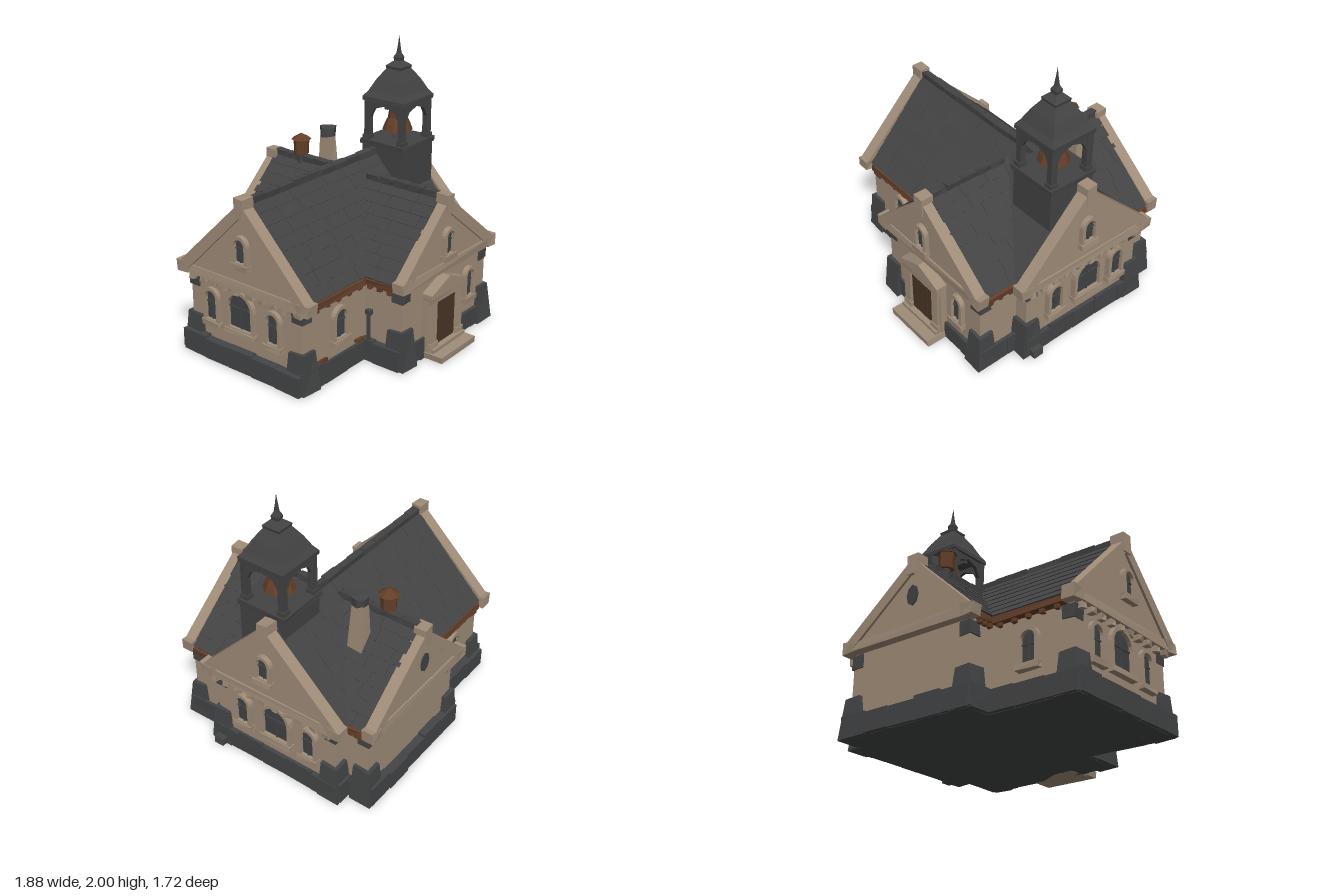
import * as THREE from 'three';
import { mergeGeometries } from 'three/addons/utils/BufferGeometryUtils.js';

const mat = (name, color) => new THREE.MeshStandardMaterial({ name, color });

export function createModel() {
  const plaster = mat('sandstone', 0xa08d79);
  const slate = mat('slate', 0x434344);
  const stone = mat('dark stone', 0x444546);
  const rust = mat('rust', 0x643f29);
  const wood = mat('door wood', 0x4a3625);
  const glass = mat('dark glass', 0x404244);
  const root = new THREE.Group();
  root.name = 'chapel';

  let seed = 7;
  const rnd = () => (seed = (seed * 16807) % 2147483647) / 2147483647;

  // Nudge corners by a position hash, so shared corners stay joined, and facet the result
  function rough(geo, amt) {
    const g = geo.index ? geo.toNonIndexed() : geo;
    const p = g.attributes.position;
    const k = rnd() * 50;
    for (let i = 0; i < p.count; i++) {
      const v = [p.getX(i), p.getY(i), p.getZ(i)].map(c => Math.round(c * 1e4) / 1e4);
      const h = j => Math.sin(v[0] * 91.7 + v[1] * 47.3 + v[2] * 71.9 + j * 5.1 + k) * amt;
      p.setXYZ(i, v[0] + h(1), v[1] + h(2), v[2] + h(3));
    }
    g.computeVertexNormals();
    return g;
  }
  function add(parent, name, geo, material, x = 0, y = 0, z = 0) {
    const m = new THREE.Mesh(geo, material);
    m.name = name;
    m.position.set(x, y, z);
    parent.add(m);
    return m;
  }
  // Box given by its limits on each axis
  function box(parent, name, material, x0, x1, y0, y1, z0, z1, amt = 0) {
    const g = new THREE.BoxGeometry(x1 - x0, y1 - y0, z1 - z0);
    return add(parent, name, amt ? rough(g, amt) : g, material, (x0 + x1) / 2, (y0 + y1) / 2, (z0 + z1) / 2);
  }
  const poly = pts => new THREE.Shape(pts.map(p => new THREE.Vector2(...p)));
  const extrude = (shape, depth) => {
    const g = new THREE.ExtrudeGeometry(shape, { depth, bevelEnabled: false, curveSegments: 5 });
    return g.translate(0, 0, -depth / 2);
  };
  const group = (name, ry = 0, x = 0, y = 0, z = 0) => {
    const g = new THREE.Group();
    g.name = name;
    g.rotation.y = ry;
    g.position.set(x, y, z);
    root.add(g);
    return g;
  };
  const Q = Math.PI / 2;

  // Walls
  box(root, 'hallWall', plaster, -0.86, 0.85, 0.05, 0.62, -0.6, 0.385);
  box(root, 'wingWall', plaster, -0.23, 0.75, 0.05, 0.62, -0.785, 0.69);

  // Plinth: solid core with uneven facing blocks
  function plinth(x0, x1, z0, z1) {
    box(root, 'plinthCore', stone, x0, x1, 0, 0.135, z0, z1);
    const row = (a, b, place) => {
      const n = Math.round((b - a) / 0.22), w = (b - a) / n;
      for (let i = 0; i < n; i++) place(a + i * w, a + (i + 1) * w - 0.004, 0.135 + rnd() * 0.025, 0.004 + rnd() * 0.01);
    };
    for (const [z, s] of [[z0, -1], [z1, 1]])
      row(x0, x1, (a, b, h, t) => box(root, 'plinthBlock', stone, a, b, 0.002, h, z - 0.02 + s * t, z + 0.02 + s * (t - 0.02), 0.002));
    for (const [x, s] of [[x0, -1], [x1, 1]])
      row(z0, z1, (a, b, h, t) => box(root, 'plinthBlock', stone, x - 0.02 + s * t, x + 0.02 + s * (t - 0.02), 0.002, h, a, b, 0.002));
  }
  plinth(-0.9, 0.88, -0.635, 0.41);
  plinth(-0.25, 0.78, -0.815, 0.705);

  // Corner stones: tapered foot and a small flush block under the eaves; (x, z) is the wall corner
  function corner(x, z, sx, sz) {
    const foot = new THREE.CylinderGeometry(0.085, 0.118, 0.275, 4, 1).rotateY(Math.PI / 4);
    add(root, 'cornerFoot', rough(foot, 0.006), stone, x - sx * 0.035, 0.1395, z - sz * 0.035);
    const cx = x - sx * 0.036, cz = z - sz * 0.036;
    box(root, 'cornerBlock', stone, cx - 0.045, cx + 0.045, 0.48, 0.57, cz - 0.045, cz + 0.045, 0.004);
  }
  for (const sz of [-1, 1]) {
    corner(-0.86, sz > 0 ? 0.385 : -0.6, -1, sz);
    corner(0.85, sz > 0 ? 0.385 : -0.6, 1, sz);
    corner(-0.23, sz > 0 ? 0.69 : -0.785, -1, sz);
    corner(0.75, sz > 0 ? 0.69 : -0.785, 1, sz);
  }
  box(root, 'looseStone', stone, 0.87, 0.935, 0, 0.065, 0.3, 0.38, 0.006);

  // Roof slope: overlapping slates from the ridge at local z = 0 down to z = d
  function slates(name, parent, a, b, d, y0, y1) {
    const th = Math.atan2(y1 - y0, d), s = Math.hypot(d, y1 - y0), n = 8, parts = [];
    for (let k = 0; k < n; k++) {
      for (let x = a; x < b - 0.01;) {
        let w = 0.16 + rnd() * 0.2;
        if (x + w > b - 0.06) w = b - x;
        const t = (k + 0.5) / n;
        const g = new THREE.BoxGeometry(w - 0.003, 0.012, s / n + 0.01);
        g.rotateX(th - 0.06 + rnd() * 0.03);
        g.translate(x + w / 2, y1 + (y0 - y1) * t + Math.cos(th) * 0.006, d * t + Math.sin(th) * 0.006);
        parts.push(g);
        x += w;
      }
    }
    add(parent, name, mergeGeometries(parts), slate);
  }
  // Main roof along x, cross roof along z
  const hallRoof = extrude(poly([[-0.645, 0.6], [0.43, 0.6], [-0.08, 1.18]]), 1.7).rotateY(-Q);
  add(root, 'hallRoof', hallRoof, slate);
  slates('hallFrontSlates', group('hallFrontSlope', 0, 0, 0, -0.08), -0.84, 0.84, 0.5, 0.62, 1.18);
  slates('hallBackSlates', group('hallBackSlope', Math.PI, 0, 0, -0.08), -0.84, 0.84, 0.555, 0.62, 1.18);
  const wingRoof = extrude(poly([[-0.29, 0.6], [0.785, 0.6], [0.21, 1.1]]), 1.46);
  add(root, 'wingRoof', wingRoof, slate, 0, 0, -0.06);
  slates('wingRightSlates', group('wingRightSlope', Q, 0.21), -0.67, 0.79, 0.565, 0.62, 1.09);
  slates('wingLeftSlates', group('wingLeftSlope', -Q, 0.21), -0.79, 0.67, 0.49, 0.62, 1.09);
  // Ridge caps
  for (let i = 0; i < 12; i++) {
    const x = -0.83 + i * 0.138;
    box(root, 'hallRidgeCap', slate, x, x + 0.132, 1.15, 1.212, -0.105, -0.055, 0.004);
    const z = -0.78 + i * 0.12;
    if (z < -0.15 || z > -0.05) box(root, 'wingRidgeCap', slate, 0.185, 0.235, 1.07, 1.125, z, z + 0.114, 0.004);
  }

  // Gable end: infill, raking coping, foot blocks, cornice and peak stone
  function gable(name, ry, x, z, a, b, p, top, w) {
    const g = group(name, ry, x, 0, z);
    add(g, 'gableInfill', extrude(poly([[a + 0.03, 0.6], [b - 0.03, 0.6], [p, top - 0.05]]), w * 0.6), plaster);
    const rake = [[a, 0.6], [a + 0.085, 0.6], [p, top - 0.1], [b - 0.085, 0.6], [b, 0.6], [b, 0.63], [p, top], [a, 0.63]];
    add(g, 'coping', extrude(poly(rake), w), plaster);
    box(g, 'cornice', plaster, a + 0.02, b - 0.02, 0.58, 0.645, -w * 0.45, w * 0.45, 0.004);
    for (const u of [a + 0.045, b - 0.045]) box(g, 'footBlock', plaster, u - 0.048, u + 0.048, 0.575, 0.655, -w * 0.53, w * 0.53, 0.005);
    box(g, 'peakStone', plaster, p - 0.042, p + 0.042, top - 0.11, top + 0.025, -w * 0.58, w * 0.58, 0.006);
    return g;
  }
  gable('frontGable', 0, 0, 0.7, -0.295, 0.8, 0.21, 1.1, 0.08);
  gable('backGable', 0, 0, -0.81, -0.295, 0.8, 0.21, 1.1, 0.08);
  for (const s of [-1, 1]) {
    const g = gable(s > 0 ? 'rightGable' : 'leftGable', -Q, s * 0.868, 0, -0.675, 0.475, -0.08, 1.2, 0.085);
    // Corbels under the end cornice
    for (let i = 0; i < 10; i++) {
      const u = -0.58 + i * 0.103;
      box(g, 'corbel', plaster, u, u + 0.05, 0.54, 0.59, -0.032, 0.032, 0.006);
    }
  }

  // Arched window on a wall group: u centre, sill height, width and height
  const arch = (w, h) => {
    const s = new THREE.Shape();
    s.moveTo(-w / 2, 0).lineTo(w / 2, 0).lineTo(w / 2, h - w / 2);
    s.absarc(0, h - w / 2, w / 2, 0, Math.PI, false);
    return s;
  };
  function windowAt(wall, u, y, w, h) {
    const f = 0.025;
    const ring = arch(w, h);
    const hole = arch(w - 2 * f, h - 2 * f).getPoints(5).map(p => p.add(new THREE.Vector2(0, f)));
    ring.holes.push(new THREE.Path(hole));
    add(wall, 'windowFrame', extrude(ring, 0.05), plaster, u, y, 0.01);
    add(wall, 'windowPane', extrude(arch(w - 2 * f, h - 2 * f), 0.008), glass, u, y + f, 0.006);
    box(wall, 'windowBar', stone, u - 0.005, u + 0.005, y + f, y + h - f, 0, 0.018);
    box(wall, 'windowBar', stone, u - w / 2 + f, u + w / 2 - f, y + h * 0.55, y + h * 0.55 + 0.01, 0, 0.018);
    box(wall, 'windowSill', plaster, u - w / 2 - 0.006, u + w / 2 + 0.006, y - 0.022, y + 0.018, -0.01, 0.045, 0.003);
  }
  windowAt(group('hallFrontWall', 0, 0, 0, 0.385), -0.51, 0.245, 0.155, 0.25);
  windowAt(group('hallBackWall', Math.PI, 0, 0, -0.6), 0.54, 0.245, 0.155, 0.25);
  const front = group('wingFrontWall', 0, 0, 0, 0.69);
  windowAt(front, 0.53, 0.245, 0.13, 0.245);
  windowAt(group('frontGableWall', 0, 0, 0, 0.724), 0.21, 0.685, 0.125, 0.21);
  for (const s of [-1, 1]) {
    const wall = group(s > 0 ? 'rightEndWall' : 'leftEndWall', s * Q, s * 0.857);
    windowAt(wall, s * 0.135, 0.265, 0.25, 0.3);
    windowAt(wall, s * -0.15, 0.255, 0.145, 0.26);
    windowAt(wall, s * 0.4, 0.255, 0.145, 0.26);
    windowAt(group('endGableWall', s * Q, s * 0.894), s * 0.08, 0.77, 0.135, 0.21);
  }
  add(root, 'backVent', new THREE.CylinderGeometry(0.048, 0.048, 0.008, 8).rotateX(Q).scale(1, 1.5, 1), glass, 0.21, 0.84, -0.837);

  // Doorway with surround, pilasters, pediment and steps
  box(front, 'doorSurround', plaster, 0, 0.395, 0, 0.42, 0, 0.05);
  box(front, 'door', wood, 0.085, 0.305, 0.075, 0.405, 0.045, 0.054);
  for (let i = 1; i < 4; i++) box(front, 'doorSeam', wood, 0.085 + i * 0.054, 0.089 + i * 0.054, 0.08, 0.4, 0.05, 0.058);
  for (const u of [0.045, 0.345]) {
    box(front, 'pilaster', plaster, u - 0.032, u + 0.032, 0.04, 0.42, 0, 0.068, 0.003);
    box(front, 'pilasterBase', plaster, u - 0.042, u + 0.042, 0.04, 0.11, 0, 0.076, 0.003);
  }
  box(front, 'lintel', plaster, 0, 0.395, 0.405, 0.455, 0, 0.075, 0.003);
  add(front, 'pediment', extrude(poly([[-0.005, 0.45], [0.4, 0.45], [0.4, 0.475], [0.2, 0.555], [-0.005, 0.475]]), 0.08), plaster, 0, 0, 0.04);
  box(root, 'lowerStep', plaster, -0.005, 0.4, 0, 0.05, 0.6, 0.86, 0.004);
  box(root, 'upperStep', plaster, 0.01, 0.385, 0, 0.075, 0.6, 0.785, 0.003);

  // Rusty gutters with brackets below the eaves
  function gutter(x0, x1, z0, z1) {
    box(root, 'gutter', rust, x0, x1, 0.572, 0.612, z0, z1, 0.005);
    const alongX = x1 - x0 > z1 - z0, n = alongX ? 5 : 3;
    for (let i = 0; i < n; i++) {
      const t = (i + 0.5) / n, x = alongX ? x0 + (x1 - x0) * t : (x0 + x1) / 2, z = alongX ? (z0 + z1) / 2 : z0 + (z1 - z0) * t;
      box(root, 'gutterBracket', rust, x - 0.015, x + 0.015, 0.545, 0.58, z - 0.015, z + 0.015, 0.003);
    }
  }
  gutter(-0.815, -0.28, 0.39, 0.44);
  gutter(-0.815, -0.28, -0.655, -0.605);
  for (const x of [-0.295, 0.75]) {
    gutter(x, x + 0.045, 0.42, 0.66);
    gutter(x, x + 0.045, -0.77, -0.64);
  }
  // Rust stains on the plinth
  box(root, 'plinthStain', rust, -0.72, -0.65, 0.145, 0.175, 0.38, 0.415, 0.006);
  box(root, 'plinthStain', rust, -0.34, -0.27, 0.145, 0.17, 0.38, 0.415, 0.006);
  box(root, 'standPipe', stone, -0.27, -0.25, 0.12, 0.37, 0.43, 0.45);
  box(root, 'standPipeHead', stone, -0.275, -0.24, 0.34, 0.375, 0.42, 0.46, 0.003);

  // Bell tower
  const tower = group('bellTower', 0, 0.632, 0, -0.005);
  box(tower, 'towerBase', slate, -0.175, 0.18, 0.93, 1.23, -0.178, 0.178);
  box(tower, 'towerLedge', slate, -0.19, 0.19, 1.225, 1.26, -0.19, 0.19, 0.003);
  for (const sx of [-1, 1]) for (const sz of [-1, 1]) {
    box(tower, 'towerPost', slate, sx * 0.147 - 0.022, sx * 0.147 + 0.022, 1.25, 1.56, sz * 0.147 - 0.022, sz * 0.147 + 0.022, 0.003);
    box(tower, 'postFoot', slate, sx * 0.147 - 0.03, sx * 0.147 + 0.03, 1.25, 1.29, sz * 0.147 - 0.03, sz * 0.147 + 0.03);
  }
  const spandrel = poly([[-0.15, 1.42], [-0.125, 1.42], [-0.085, 1.49], [0, 1.52], [0.085, 1.49], [0.125, 1.42], [0.15, 1.42], [0.15, 1.56], [-0.15, 1.56]]);
  for (let i = 0; i < 4; i++) {
    const g = extrude(spandrel, 0.025).translate(0, 0, 0.15).rotateY(i * Q);
    add(tower, 'towerArch', g, slate);
  }
  box(tower, 'towerEave', slate, -0.178, 0.178, 1.545, 1.575, -0.178, 0.178, 0.002);
  const lathe = (pts, n, phi = 0) => rough(new THREE.LatheGeometry(pts.map(p => new THREE.Vector2(...p)), n, phi), 0);
  const spire = [[0.178, 1.572], [0.15, 1.61], [0.11, 1.69], [0.062, 1.765], [0.066, 1.785], [0.03, 1.82], [0.034, 1.845], [0.016, 1.875], [0.008, 1.93], [0.0, 2]];
  add(tower, 'spire', lathe(spire.map(([r, y]) => [r * Math.SQRT2 * (y > 1.8 ? 0.8 : 1), y]), 4, Math.PI / 4), slate);
  const bell = [[0, 1.325], [0.085, 1.325], [0.108, 1.32], [0.09, 1.37], [0.07, 1.41], [0.062, 1.47], [0.035, 1.5], [0, 1.51]];
  add(tower, 'bell', lathe(bell, 10), rust);
  add(tower, 'clapper', lathe([[0.045, 1.255], [0.02, 1.3], [0.015, 1.34]], 6), slate);
  box(tower, 'bellBeam', slate, -0.14, 0.14, 1.495, 1.525, -0.015, 0.015);

  // Chimney and rusty roof vent on a short post
  const stack = new THREE.CylinderGeometry(0.055, 0.08, 0.38, 4).rotateY(Math.PI / 4);
  add(root, 'chimney', rough(stack, 0.005), plaster, 0.39, 1.06, -0.45);
  add(root, 'chimneyCap', rough(new THREE.CylinderGeometry(0.06, 0.055, 0.07, 7), 0.004), stone, 0.39, 1.275, -0.45);
  add(root, 'roofVentPost', new THREE.CylinderGeometry(0.03, 0.035, 0.12, 6), slate, 0.2, 1.09, -0.54);
  add(root, 'roofVent', rough(new THREE.CylinderGeometry(0.058, 0.052, 0.115, 8), 0.003), rust, 0.2, 1.195, -0.54);
  add(root, 'roofVentHood', rough(new THREE.ConeGeometry(0.073, 0.045, 8), 0.002), rust, 0.2, 1.268, -0.54);

  return root;
}
